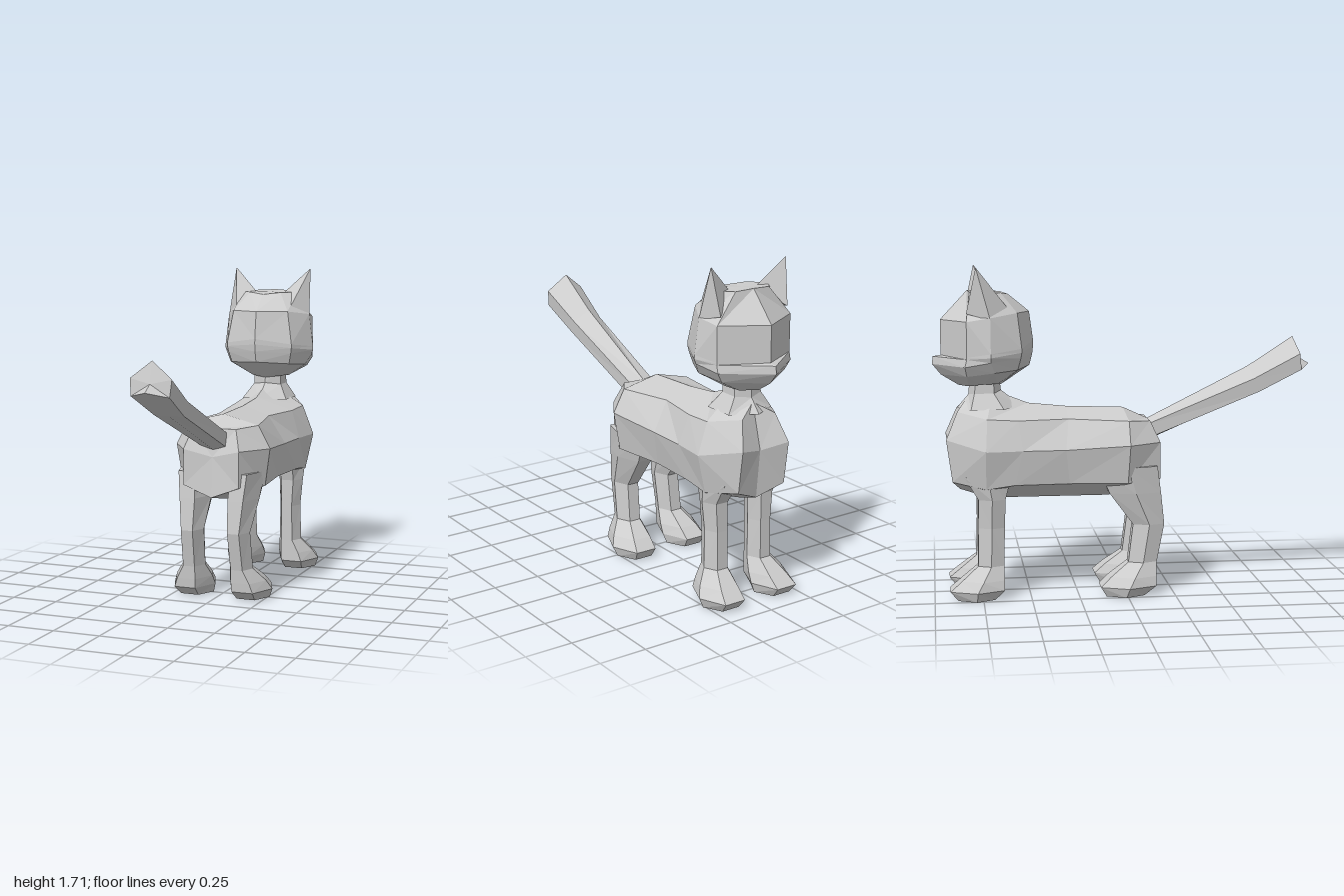
import * as THREE from 'three';

const grey = new THREE.MeshStandardMaterial({ color: 0xcccccc });

// Faceted closed skin over rings of [x, y, z] points, with fan caps at both ends
function loft(rings) {
  const n = rings[0].length;
  const tris = [];
  for (let i = 0; i < rings.length - 1; i++) {
    for (let j = 0; j < n; j++) {
      const k = (j + 1) % n;
      const a = rings[i][j], b = rings[i][k], c = rings[i + 1][k], d = rings[i + 1][j];
      // diagonals mirror from one half to the other
      if (j < n / 2) tris.push([a, b, c], [a, c, d]);
      else tris.push([a, b, d], [b, c, d]);
    }
  }
  const cap = (ring, flip) => {
    const mid = [0, 1, 2].map((q) => ring.reduce((s, p) => s + p[q], 0) / n);
    for (let j = 0; j < n; j++) {
      const a = ring[j], b = ring[(j + 1) % n];
      tris.push(flip ? [b, a, mid] : [a, b, mid]);
    }
  };
  cap(rings[0], true);
  cap(rings[rings.length - 1], false);

  // turn the skin outward if its signed volume is negative
  const V = (p) => new THREE.Vector3(...p);
  let volume = 0;
  for (const [a, b, c] of tris) volume += V(a).dot(V(b).cross(V(c)));
  if (volume < 0) tris.forEach((t) => t.reverse());
  const geo = new THREE.BufferGeometry();
  geo.setAttribute('position', new THREE.Float32BufferAttribute(tris.flat(2), 3));
  geo.computeVertexNormals();
  return geo;
}

// Full symmetric ring from its +x half, whose first and last points lie on x = 0
const mirror = (half) => [...half, ...half.slice(1, -1).reverse().map(([x, y, z]) => [-x, y, z])];

function createModel() {
  const cat = new THREE.Group();
  cat.name = 'cat';
  const add = (name, rings) => {
    const mesh = new THREE.Mesh(loft(rings), grey);
    mesh.name = name;
    cat.add(mesh);
  };

  // Body, from rump to chest; each half ring runs from spine to belly
  add('body', [
    [[0, 0.91, 0.13], [0.12, 0.91, 0.13], [0.155, 0.8, 0.18], [0.155, 0.61, 0.18], [0, 0.55, 0.18]],
    [[0, 0.97, 0], [0.2, 0.92, 0.01], [0.265, 0.8, 0.01], [0.235, 0.6, 0], [0, 0.5, -0.08]],
    [[0, 0.98, -0.3], [0.145, 0.93, -0.3], [0.235, 0.78, -0.32], [0.2, 0.6, -0.3], [0, 0.5, -0.3]],
    [[0, 1.0, -0.5], [0.19, 0.93, -0.56], [0.24, 0.78, -0.54], [0.215, 0.6, -0.58], [0, 0.5, -0.6]],
    [[0, 1.07, -0.68], [0.2, 0.94, -0.72], [0.26, 0.78, -0.73], [0.215, 0.58, -0.73], [0, 0.51, -0.74]],
    [[0, 1.03, -0.82], [0.1, 0.97, -0.87], [0.14, 0.83, -0.93], [0.14, 0.61, -0.9], [0, 0.55, -0.86]],
  ].map(mirror));

  // Neck, flaring into the shoulders
  add('neck', [
    [[0, 0.99, -0.54], [0.13, 0.98, -0.63], [0.13, 0.98, -0.8], [0, 0.98, -0.87]],
    [[0, 1.07, -0.64], [0.08, 1.06, -0.68], [0.08, 1.06, -0.78], [0, 1.05, -0.81]],
    [[0, 1.15, -0.65], [0.075, 1.15, -0.68], [0.075, 1.15, -0.77], [0, 1.15, -0.8]],
  ].map(mirror));

  // Head, from chin to crown; each half ring runs from nape to face
  add('head', [
    [[0, 1.1, -0.64], [0.08, 1.11, -0.66], [0.11, 1.11, -0.74], [0.08, 1.1, -0.81], [0, 1.1, -0.86]],
    [[0, 1.2, -0.49], [0.17, 1.19, -0.56], [0.225, 1.18, -0.68], [0.19, 1.16, -0.82], [0, 1.155, -0.95]],
    [[0, 1.26, -0.475], [0.185, 1.25, -0.545], [0.255, 1.235, -0.7], [0.22, 1.21, -0.83], [0, 1.21, -0.995]],
    [[0, 1.3, -0.47], [0.19, 1.28, -0.54], [0.265, 1.26, -0.7], [0.22, 1.25, -0.82], [0, 1.25, -0.99]],
    [[0, 1.33, -0.47], [0.19, 1.3, -0.54], [0.263, 1.28, -0.7], [0.22, 1.26, -0.82], [0, 1.257, -0.95]],
    [[0, 1.48, -0.49], [0.16, 1.48, -0.56], [0.24, 1.46, -0.7], [0.22, 1.44, -0.82], [0, 1.44, -0.95]],
    [[0, 1.57, -0.6], [0.09, 1.58, -0.64], [0.16, 1.58, -0.72], [0.1, 1.585, -0.8], [0, 1.59, -0.81]],
  ].map(mirror));

  // Tail, widening toward its tip
  add('tail', [
    [[0, 0.895, 0.1], [0.07, 0.88, 0.11], [0.07, 0.82, 0.15], [0, 0.8, 0.15]],
    [[0, 1.18, 0.67], [0.085, 1.12, 0.69], [0.08, 1.05, 0.72], [0, 1.05, 0.73]],
    [[0, 1.335, 0.91], [0.108, 1.25, 0.93], [0.1, 1.165, 0.94], [0, 1.19, 1.0]],
  ].map(mirror));

  // Leg levels: [y, back z, front z, inner x, outer x]
  const rearLeg = [
    [0, 0.09, -0.11, 0.06, 0.26], [0.05, 0.15, -0.14, 0.045, 0.28], [0.1, 0.155, -0.085, 0.05, 0.255],
    [0.17, 0.16, 0.01, 0.07, 0.2], [0.37, 0.2, 0.035, 0.065, 0.195],
    [0.54, 0.18, -0.09, 0.05, 0.22], [0.68, 0.16, -0.15, 0.06, 0.235],
  ];
  const frontLeg = [
    [0, -0.69, -0.88, 0.06, 0.26], [0.05, -0.64, -0.92, 0.045, 0.28], [0.1, -0.64, -0.86, 0.05, 0.255],
    [0.17, -0.64, -0.775, 0.07, 0.2], [0.37, -0.635, -0.77, 0.075, 0.195],
    [0.52, -0.63, -0.77, 0.07, 0.21], [0.64, -0.6, -0.84, 0.05, 0.22],
  ];
  const hexRing = (side) => ([y, back, front, inner, outer]) => {
    const cx = (inner + outer) / 2, r = (outer - inner) / 2, mid = (back + front) / 2;
    return [[0.5, back], [1, mid], [0.5, front], [-0.5, front], [-1, mid], [-0.5, back]]
      .map(([u, z]) => [side * (cx + u * r), y, z]);
  };

  for (const [side, label] of [[1, 'Left'], [-1, 'Right']]) {
    add('rearLeg' + label, rearLeg.map(hexRing(side)));
    add('frontLeg' + label, frontLeg.map(hexRing(side)));

    // Ear, a tapering four-sided point
    const base = [[0.07, 1.565, -0.72], [0.15, 1.47, -0.58], [0.24, 1.45, -0.7], [0.2, 1.48, -0.82]];
    const tip = [0.223, 1.713, -0.77];
    add('ear' + label, [base, base.map((p) => p.map((v, q) => tip[q] + (v - tip[q]) * 0.02))]
      .map((ring) => ring.map(([x, y, z]) => [side * x, y, z])));
  }
  return cat;
}

export { createModel };
